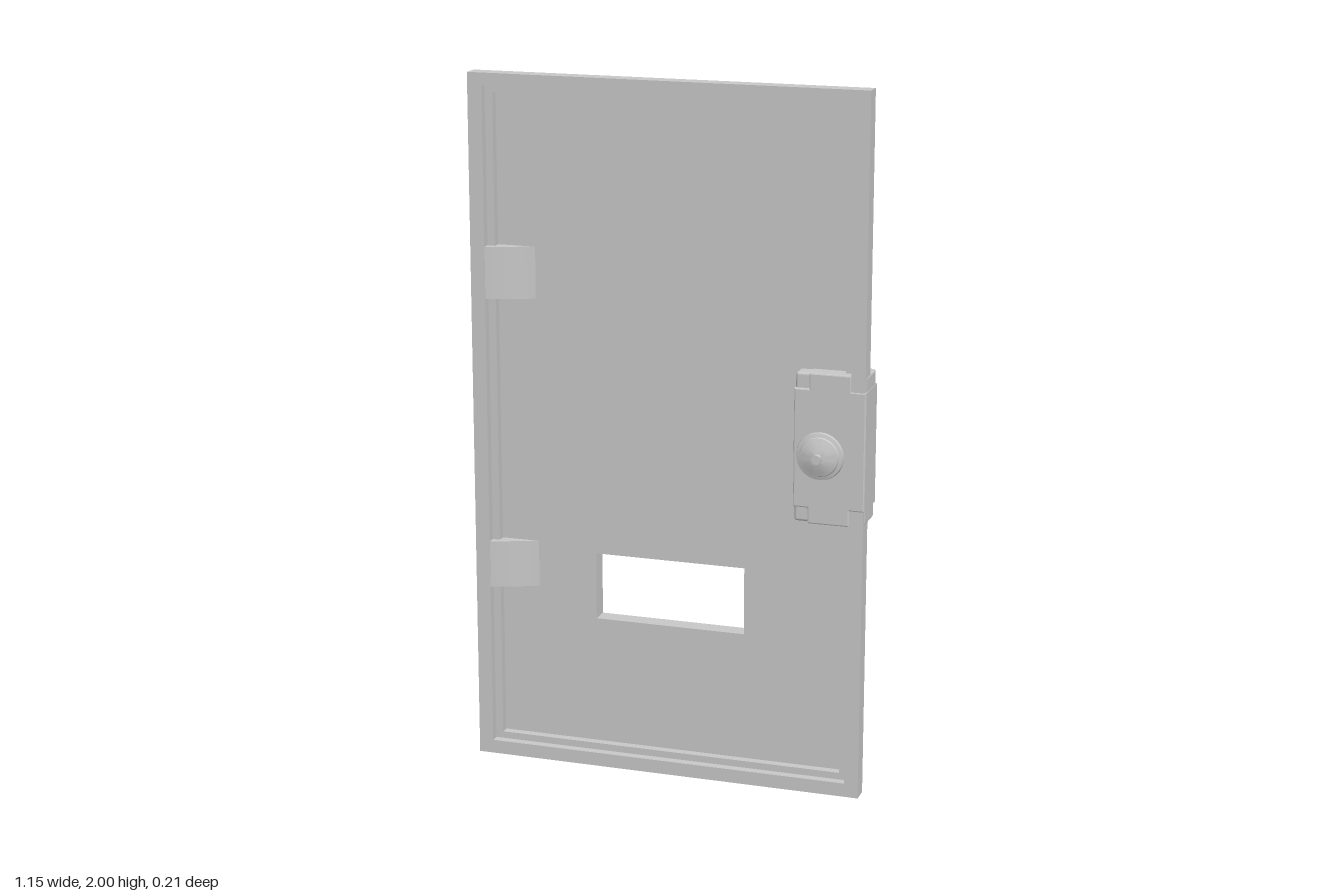
import * as THREE from 'three';
import { RoundedBoxGeometry } from 'three/addons/geometries/RoundedBoxGeometry.js';
import { toCreasedNormals } from 'three/addons/utils/BufferGeometryUtils.js';

const metal = new THREE.MeshStandardMaterial({ color: 0xc8c8c8 });
metal.name = 'light grey metal';

function add(parent, name, geometry) {
  const mesh = new THREE.Mesh(geometry, metal);
  mesh.name = name;
  parent.add(mesh);
  return mesh;
}

function rect(Type, [x0, y0, x1, y1]) {
  return new Type([[x0, y0], [x1, y0], [x1, y1], [x0, y1]].map(p => new THREE.Vector2(...p)));
}

// Rectangular plate with a rectangular opening, between two depths
function slab(outer, hole, z0, z1) {
  const shape = rect(THREE.Shape, outer);
  shape.holes.push(rect(THREE.Path, hole));
  return new THREE.ExtrudeGeometry(shape, { depth: z1 - z0, bevelEnabled: false }).translate(0, 0, z0);
}

// Hinge tab: level with the rim on the left, easing down to the panel
function hingeTab(y0, y1) {
  const shape = new THREE.Shape();
  shape.moveTo(-0.54, 0.005);
  shape.lineTo(-0.40, 0.005);
  shape.lineTo(-0.40, 0.0105);
  shape.bezierCurveTo(-0.44, 0.023, -0.49, 0.048, -0.54, 0.0595);
  const g = new THREE.ExtrudeGeometry(shape, { depth: y1 - y0, bevelEnabled: false, curveSegments: 10 });
  // Profile lies in x-z, extruded along y
  g.rotateX(Math.PI / 2).translate(0, y1, 0);
  return toCreasedNormals(g, 0.5);
}

// Cross-shaped lock cover with the four corners notched
function lockCover(w, h, notchX, notchY, depth) {
  const b = 0.004, x = w / 2 - b, y = h / 2 - b, nx = x - notchX, ny = y - notchY;
  const pts = [[x, -ny], [x, ny], [nx, ny], [nx, y], [-nx, y], [-nx, ny],
    [-x, ny], [-x, -ny], [-nx, -ny], [-nx, -y], [nx, -y], [nx, -ny]];
  const shape = new THREE.Shape(pts.map(p => new THREE.Vector2(...p)));
  return new THREE.ExtrudeGeometry(shape, {
    depth: depth - 2 * b, bevelEnabled: true, bevelSize: b, bevelThickness: b, bevelSegments: 2,
  }).translate(0, 0, -depth / 2 + b);
}

export function createModel() {
  const door = new THREE.Group();
  door.name = 'door';

  // Stepped leaf
  const slot = [-0.225, 0.434, 0.217, 0.63];
  const back = [-0.535, 0.04, 0.53, 1.963];
  add(door, 'frontRim', slab([-0.575, 0, 0.57, 2], [-0.533, 0.04, 0.53, 1.965], 0.035, 0.06));
  add(door, 'innerRim', slab([-0.575, 0, 0.57, 2], [-0.511, 0.06, 0.508, 1.943], 0.01, 0.035));
  add(door, 'middlePanel', slab([-0.553, 0.02, 0.547, 1.98], slot, -0.009, 0.0105));
  add(door, 'backPanel', slab(back, slot, -0.042, -0.009));

  // Hinge tabs
  add(door, 'upperHingeTab', hingeTab(1.363, 1.512));
  add(door, 'lowerHingeTab', hingeTab(0.513, 0.65));

  // Lock case wrapping the door edge
  const lock = new THREE.Group();
  lock.name = 'lock';
  lock.position.set(0.4715, 1.01, 0);
  door.add(lock);
  add(lock, 'lockCore', new RoundedBoxGeometry(0.2, 0.424, 0.106, 2, 0.008));
  add(lock, 'lockCover', lockCover(0.203, 0.428, 0.042, 0.045, 0.124));

  // Stepped conical knob with a centre pin on each face
  const profile = [[0.068, 0], [0.066, 0.007], [0.056, 0.010], [0.054, 0.016], [0.042, 0.020],
    [0.028, 0.025], [0.013, 0.028], [0.013, 0.043], [0, 0.043]].map(p => new THREE.Vector2(...p));
  for (const side of [1, -1]) {
    const g = toCreasedNormals(new THREE.LatheGeometry(profile, 32), 0.6);
    const knob = add(lock, side > 0 ? 'frontKnob' : 'backKnob', g);
    knob.rotation.x = side * Math.PI / 2;
    knob.position.set(-0.0255, -0.018, side * 0.062);
  }
  return door;
}
